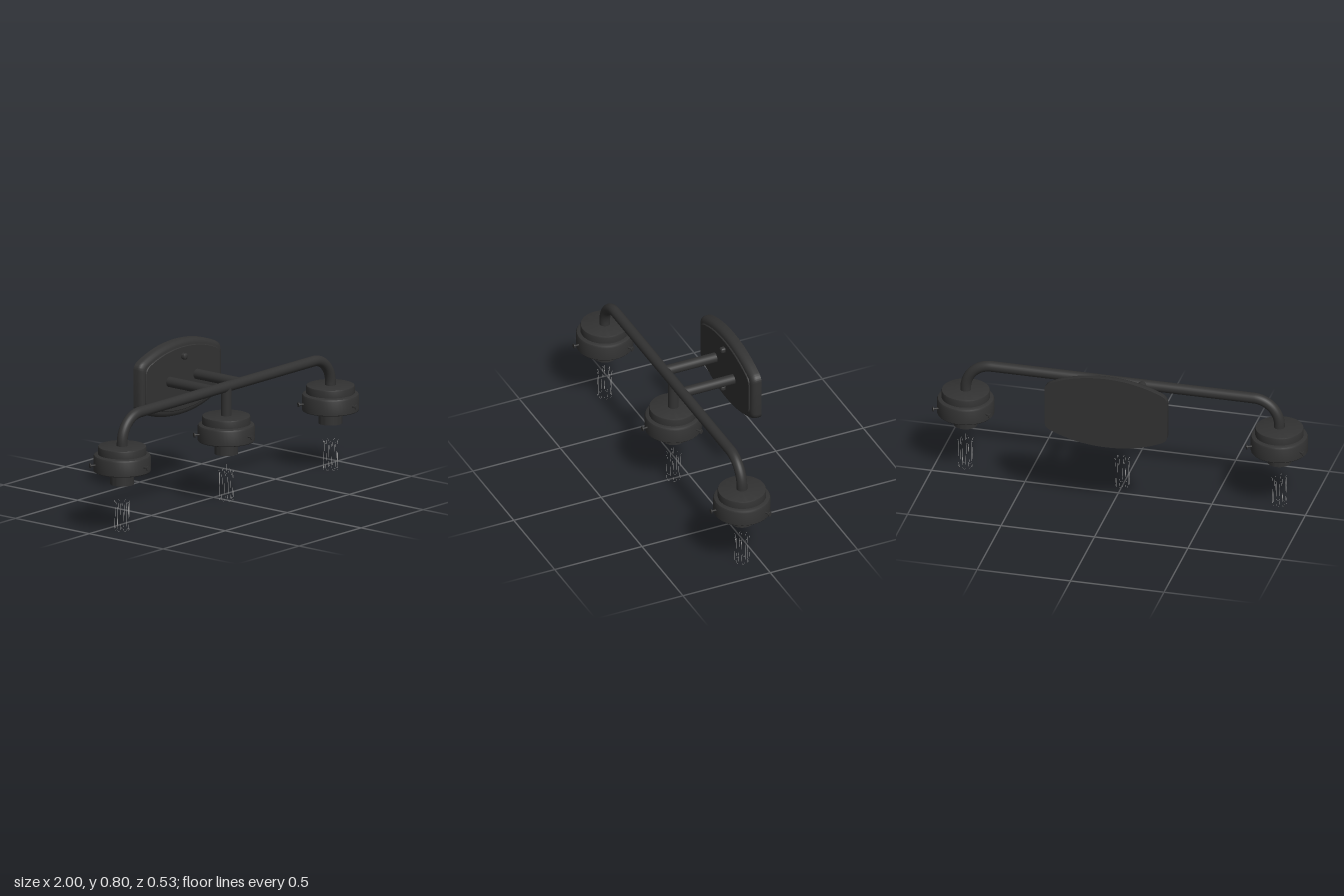
import * as THREE from 'three';
import { toCreasedNormals } from 'three/addons/utils/BufferGeometryUtils.js';

const V = (x, y, z) => new THREE.Vector3(x, y, z);
const BAR_Y = 0.606, BAR_Z = 0.087, LAMP_X = 0.839, TUBE_R = 0.028;

function material(name, color) {
  const m = new THREE.MeshStandardMaterial({ color });
  m.name = name;
  return m;
}

function add(parent, name, geometry, mat) {
  const mesh = new THREE.Mesh(geometry, mat);
  mesh.name = name;
  parent.add(mesh);
  return mesh;
}

function rod(a, b, radius, segments = 24) {
  const dir = b.clone().sub(a);
  const g = new THREE.CylinderGeometry(radius, radius, dir.length(), segments);
  g.applyQuaternion(new THREE.Quaternion().setFromUnitVectors(V(0, 1, 0), dir.normalize()));
  return g.translate(...a.clone().add(b).multiplyScalar(0.5).toArray());
}

function lathe(points) {
  const g = new THREE.LatheGeometry(points.map(p => new THREE.Vector2(...p)), 48);
  return toCreasedNormals(g, 0.6);
}

// Plate outline: straight sides, rounded corners, bowed top and bottom
function plateOutline(inset) {
  const w = 0.328 - inset, h = 0.2 - inset, c = 0.125 - inset * 0.7;
  const s = new THREE.Shape();
  s.moveTo(w, -c + 0.03);
  s.lineTo(w, c - 0.03);
  s.quadraticCurveTo(w, c, w - 0.035, c + 0.015);
  s.quadraticCurveTo(w * 0.48, h, 0, h);
  s.quadraticCurveTo(-w * 0.48, h, -w + 0.035, c + 0.015);
  s.quadraticCurveTo(-w, c, -w, c - 0.03);
  s.lineTo(-w, -c + 0.03);
  s.quadraticCurveTo(-w, -c, -w + 0.035, -c - 0.015);
  s.quadraticCurveTo(-w * 0.48, -h, 0, -h);
  s.quadraticCurveTo(w * 0.48, -h, w - 0.035, -c - 0.015);
  s.quadraticCurveTo(w, -c, w, -c + 0.03);
  return s.getPoints(12);
}

// Loft of plate outlines from back to front, closed at both ends
function plateGeometry(sections) {
  const rings = sections.map(([inset, z]) => plateOutline(inset).map(p => [p.x, p.y, z]));
  const n = rings[0].length;
  const ends = [sections[0][1], sections[sections.length - 1][1]];
  rings.unshift(rings[0].map(() => [0, 0, ends[0]]));
  rings.push(rings[0].map(() => [0, 0, ends[1]]));
  const pos = [];
  for (let r = 0; r < rings.length - 1; r++) {
    for (let i = 0; i < n - 1; i++) {
      const a = rings[r][i], b = rings[r][i + 1], c = rings[r + 1][i + 1], d = rings[r + 1][i];
      if (r > 0) pos.push(...a, ...b, ...d);
      if (r < rings.length - 2) pos.push(...b, ...c, ...d);
      if (r === 0) pos.push(...a, ...c, ...d);
    }
  }
  const g = new THREE.BufferGeometry();
  g.setAttribute('position', new THREE.Float32BufferAttribute(pos, 3));
  return toCreasedNormals(g, 0.6);
}

// Fine wire zigzagging around a small cage, with round turns at the bottom
function filamentGeometry() {
  const pts = [], loops = 7, step = Math.PI * 2 / loops;
  for (let k = 0; k < loops; k++) {
    for (const [t, r, y] of [[0, 0.042, 0.159], [0.1, 0.038, 0.152], [0.27, 0.038, 0.015],
      [0.36, 0.036, 0.003], [0.5, 0.035, 0.001], [0.64, 0.036, 0.003], [0.73, 0.038, 0.015],
      [0.9, 0.038, 0.152]]) {
      const a = (k + t) * step;
      pts.push(V(Math.sin(a) * r, y, Math.cos(a) * r));
    }
  }
  return new THREE.TubeGeometry(new THREE.CatmullRomCurve3(pts, true), 336, 0.0006, 5, true);
}

function lamp(metal, contact, wire) {
  const g = new THREE.Group();
  g.name = 'lamp';
  // Stepped shade holder, open underneath
  add(g, 'shadeHolder', lathe([[0, 0.402], [0.142, 0.402],
    [0.142, 0.32], [0.146, 0.32], [0.149, 0.324], [0.149, 0.397], [0.145, 0.406], [0.137, 0.41],
    [0.126, 0.412], [0.126, 0.446], [0.124, 0.452], [0.119, 0.454], [0, 0.454]]), metal);
  // Bulb socket
  add(g, 'socket', lathe([[0, 0.255], [0.056, 0.255], [0.056, 0.25], [0.062, 0.25],
    [0.062, 0.42], [0, 0.42]]), metal);
  const disc = new THREE.CircleGeometry(0.056, 32).rotateX(Math.PI / 2).translate(0, 0.252, 0);
  add(g, 'socketContact', disc, contact);
  // Three thumb screws
  for (let i = 0; i < 3; i++) {
    const a = i * Math.PI * 2 / 3, at = r => V(Math.sin(a) * r, 0.362, Math.cos(a) * r);
    add(g, 'thumbScrewShaft', rod(at(0.132), at(0.175), 0.005, 12), metal);
    add(g, 'thumbScrewHead', rod(at(0.174), at(0.179), 0.013, 20), metal);
  }
  // Filament with its central stem
  add(g, 'filament', filamentGeometry(), wire);
  add(g, 'filamentStem', rod(V(0, 0.155, 0), V(0, 0.193, 0), 0.0006, 5), wire);
  return g;
}

export function createModel() {
  const model = new THREE.Group();
  model.name = 'wallLight';
  const metal = material('dark metal', 0x323232);
  const contact = material('socket silver', 0xc0c0c0);
  const wire = material('filament wire', 0xa0a0a0);

  // Wall plate with rounded front edge and a raised panel
  const plate = add(model, 'wallPlate', plateGeometry([[0, -0.265], [0, -0.238], [0.004, -0.225],
    [0.012, -0.216], [0.024, -0.212]]), metal);
  const panel = add(model, 'platePanel', plateGeometry([[0.032, -0.214], [0.032, -0.208], [0.035, -0.205]]), metal);
  plate.position.y = panel.position.y = 0.605;

  // Plate fixing knobs
  for (const y of [0.723, 0.488]) {
    const knob = lathe([[0, 0], [0.017, 0], [0.017, 0.018], [0.015, 0.023], [0.011, 0.026], [0, 0.027]]);
    knob.rotateX(Math.PI / 2);
    add(model, 'plateKnob', knob, metal).position.set(0, y, -0.207);
  }

  // Cross bar with both ends bent down
  const path = new THREE.CurvePath();
  const bend = 0.138, x0 = LAMP_X - bend, y0 = BAR_Y - bend;
  path.add(new THREE.LineCurve3(V(-LAMP_X, 0.445, BAR_Z), V(-LAMP_X, y0, BAR_Z)));
  const k = bend * 0.5523;
  path.add(new THREE.CubicBezierCurve3(V(-LAMP_X, y0, BAR_Z), V(-LAMP_X, y0 + k, BAR_Z),
    V(-x0 - k, BAR_Y, BAR_Z), V(-x0, BAR_Y, BAR_Z)));
  path.add(new THREE.LineCurve3(V(-x0, BAR_Y, BAR_Z), V(x0, BAR_Y, BAR_Z)));
  path.add(new THREE.CubicBezierCurve3(V(x0, BAR_Y, BAR_Z), V(x0 + k, BAR_Y, BAR_Z),
    V(LAMP_X, y0 + k, BAR_Z), V(LAMP_X, y0, BAR_Z)));
  path.add(new THREE.LineCurve3(V(LAMP_X, y0, BAR_Z), V(LAMP_X, 0.445, BAR_Z)));
  add(model, 'crossBar', new THREE.TubeGeometry(path, 160, TUBE_R, 24), metal);

  // Arms to the wall plate and the middle stem
  for (const x of [-0.11, 0.11]) {
    add(model, 'arm', rod(V(x, BAR_Y, BAR_Z), V(x, BAR_Y, -0.21), 0.027), metal);
  }
  add(model, 'middleStem', rod(V(0, BAR_Y, BAR_Z), V(0, 0.445, BAR_Z), TUBE_R), metal);

  // Three lamps
  for (const x of [-LAMP_X, 0, LAMP_X]) {
    const l = lamp(metal, contact, wire);
    l.position.set(x, 0, BAR_Z);
    model.add(l);
  }
  return model;
}
